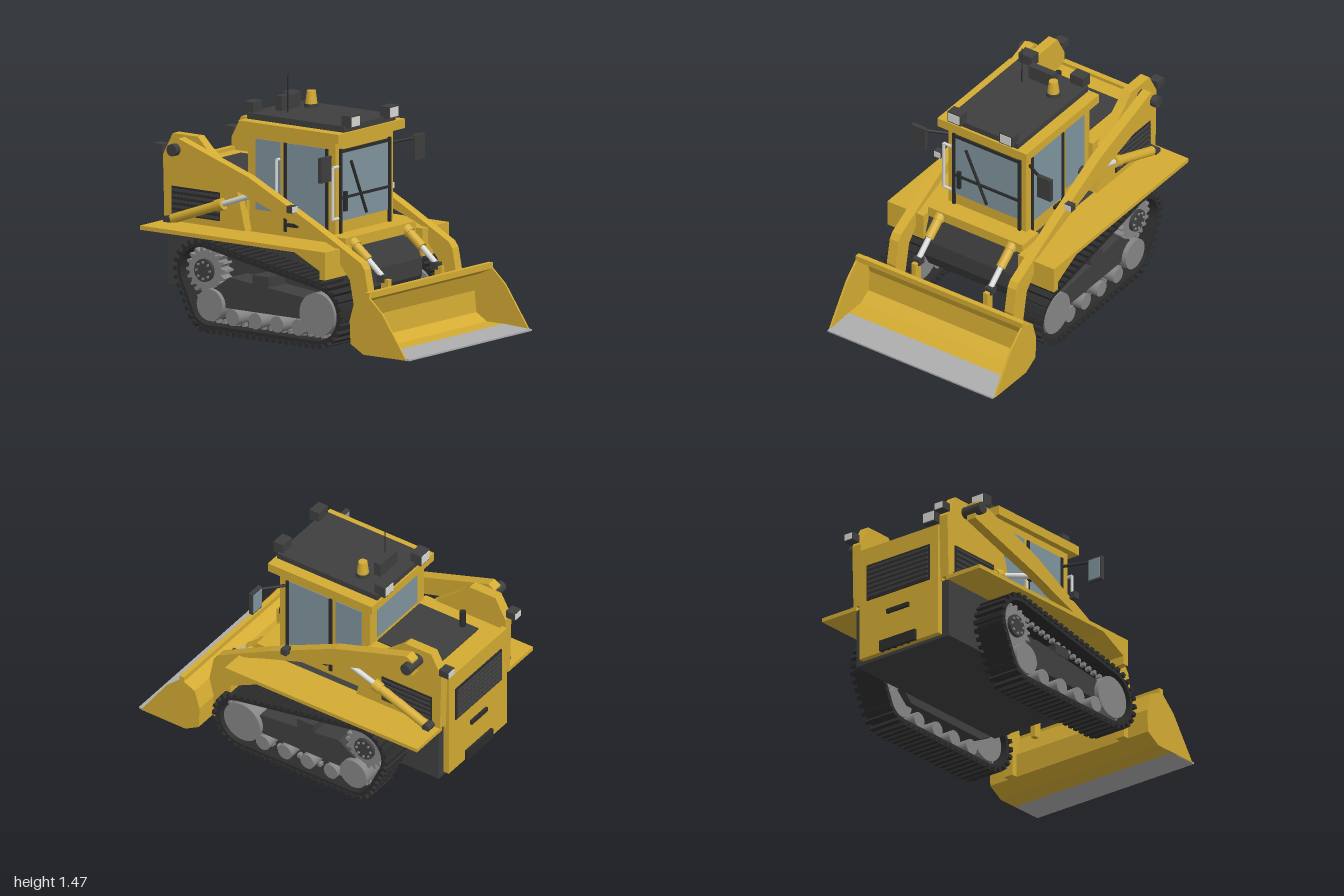
import * as THREE from 'three';

const material = (name, color) => Object.assign(new THREE.MeshStandardMaterial({ color }), { name });
const yellow = material('body yellow', 0xd4ac33);
const dark = material('dark grey', 0x3f3f3f);
const black = material('black trim', 0x2c2c2c);
const glass = material('window glass', 0x80959e);
const steel = material('cutting steel', 0xadadad);
const wheelGrey = material('wheel grey', 0x868686);
const lamp = material('lamp white', 0xd8d8d6);

export function createModel() {
  const model = new THREE.Group();
  model.name = 'earthMover';

  const add = (name, geometry, mat) => {
    const mesh = new THREE.Mesh(geometry, mat);
    mesh.name = name;
    model.add(mesh);
    return mesh;
  };
  // Box given by its extents
  const box = (name, mat, x0, x1, y0, y1, z0, z1) => {
    const mesh = add(name, new THREE.BoxGeometry(x1 - x0, y1 - y0, Math.abs(z1 - z0)), mat);
    mesh.position.set((x0 + x1) / 2, (y0 + y1) / 2, (z0 + z1) / 2);
  };
  // Side profile extruded across z
  const toPoints = pts => pts.map(p => new THREE.Vector2(p[0], p[1]));
  const profile = (name, mat, pts, z0, z1, hole) => {
    const shape = new THREE.Shape(toPoints(pts));
    if (hole) shape.holes.push(new THREE.Path(toPoints(hole)));
    const geo = new THREE.ExtrudeGeometry(shape, { depth: Math.abs(z1 - z0), bevelEnabled: false });
    geo.translate(0, 0, Math.min(z0, z1));
    add(name, geo, mat);
  };
  // Round bar between two points
  const rod = (name, mat, a, b, r, r2 = r, sides = 16) => {
    const p = new THREE.Vector3(...a), q = new THREE.Vector3(...b);
    const mesh = add(name, new THREE.CylinderGeometry(r2, r, p.distanceTo(q), sides), mat);
    mesh.position.copy(p).lerp(q, 0.5);
    mesh.quaternion.setFromUnitVectors(new THREE.Vector3(0, 1, 0), q.sub(p).normalize());
  };
  const disc = (name, mat, x, y, r, z0, z1, sides = 32) => rod(name, mat, [x, y, z0], [x, y, z1], r, r, sides);

  // Chassis, hood and rear door
  profile('chassis', dark, [[-0.915, 0.2], [0.33, 0.2], [0.39, 0.3], [0.39, 0.4], [0.34, 0.555], [-0.915, 0.555]], -0.34, 0.34);
  box('hood', yellow, -0.93, -0.38, 0.55, 0.88, -0.3, 0.3);
  box('hoodPanel', dark, -0.81, -0.4, 0.88, 0.888, -0.21, 0.21);
  rod('exhaust', black, [-0.72, 0.88, 0.18], [-0.72, 0.99, 0.18], 0.018);
  box('rearDoor', yellow, -0.95, -0.915, 0.22, 0.9, -0.29, 0.29);
  box('rearGrille', black, -0.957, -0.95, 0.57, 0.79, -0.23, 0.23);
  for (let i = 0; i < 7; i++) box('rearSlat', dark, -0.966, -0.955, 0.585 + i * 0.029, 0.6 + i * 0.029, -0.22, 0.22);
  box('rearHandle', black, -0.966, -0.95, 0.445, 0.47, -0.08, 0.08);
  box('rearHitch', black, -0.967, -0.94, 0.22, 0.285, -0.13, 0.13);
  box('frontCrossbar', yellow, 0.2, 0.355, 0.55, 0.61, -0.33, 0.33);

  // Cab
  box('cab', yellow, -0.39, 0.235, 0.55, 1.15, -0.27, 0.27);
  box('roof', yellow, -0.43, 0.29, 1.145, 1.2, -0.31, 0.31);
  box('roofPlate', dark, -0.42, 0.275, 1.2, 1.235, -0.24, 0.24);
  box('windscreen', glass, 0.235, 0.239, 0.68, 1.09, -0.22, 0.22);
  box('rearWindow', glass, -0.394, -0.39, 0.9, 1.1, -0.2, 0.2);
  for (const z of [-0.228, 0.228]) box('windscreenFrame', black, 0.235, 0.248, 0.58, 1.1, z - 0.009, z + 0.009);
  box('windscreenFrame', black, 0.235, 0.247, 1.075, 1.093, -0.235, 0.235);
  box('windscreenBar', black, 0.237, 0.25, 0.808, 0.822, -0.22, 0.22);
  box('wiperMotor', black, 0.237, 0.255, 0.735, 0.85, 0.178, 0.202);
  rod('wiper', black, [0.249, 1.02, 0.14], [0.249, 0.7, -0.005], 0.009, 0.009, 6);

  // Roof equipment
  box('airUnit', dark, -0.335, -0.29, 1.235, 1.32, -0.085, 0.085);
  rod('beaconBase', dark, [-0.24, 1.235, -0.125], [-0.24, 1.255, -0.125], 0.042);
  rod('beacon', yellow, [-0.24, 1.25, -0.125], [-0.24, 1.33, -0.125], 0.036, 0.026);
  rod('antenna', black, [-0.24, 1.23, 0.095], [-0.24, 1.465, 0.095], 0.004, 0.003, 6);

  // Bucket
  profile('bucketShell', yellow, [[0.8, 0.012], [0.675, 0.012], [0.582, 0.065], [0.576, 0.2], [0.61, 0.312],
    [0.685, 0.345], [0.685, 0.375], [0.715, 0.375], [0.715, 0.34], [0.625, 0.3], [0.592, 0.2], [0.605, 0.075],
    [0.68, 0.03], [0.8, 0.03]], -0.575, 0.575);
  profile('cuttingEdge', steel, [[0.8, 0.012], [1, 0.012], [1, 0.022], [0.8, 0.031]], -0.575, 0.575);

  // Track loop: hull of circles around sprocket, lower idler and front idler
  const hull = inset => {
    const pts = [];
    for (const [x, y, r] of [[-0.52, 0.35, 0.165], [-0.46, 0.165, 0.142], [0.31, 0.195, 0.172]])
      for (let i = 0; i < 48; i++) {
        const a = i / 48 * Math.PI * 2;
        pts.push([x + Math.cos(a) * (r - inset), y + Math.sin(a) * (r - inset)]);
      }
    pts.sort((p, q) => p[0] - q[0] || p[1] - q[1]);
    const chain = list => {
      const h = [];
      for (const p of list) {
        while (h.length > 1) {
          const [a, b] = h.slice(-2);
          if ((b[0] - a[0]) * (p[1] - a[1]) - (b[1] - a[1]) * (p[0] - a[0]) > 1e-9) break;
          h.pop();
        }
        h.push(p);
      }
      return h.slice(0, -1);
    };
    return [...chain(pts), ...chain([...pts].reverse())];
  };
  const outer = hull(0), inner = hull(0.022);
  const loop = new THREE.Path(toPoints([...outer, outer[0]]));
  const cleatCount = 60;
  const cleatGeometry = new THREE.BoxGeometry(0.024, 0.026, 0.21);
  const toothGeometry = new THREE.BoxGeometry(0.02, 0.026, 0.03);

  for (const s of [1, -1]) {
    // Fender and rear arm tower
    profile('fender', yellow, [[-0.93, 0.572], [0.4, 0.572], [0.4, 0.41], [0.36, 0.41], [0.36, 0.46], [0.18, 0.548], [-0.93, 0.548]], s * 0.33, s * 0.58);
    profile('armTower', yellow, [[-0.93, 0.57], [-0.94, 0.95], [-0.87, 1.08], [-0.69, 1.08], [-0.63, 1.02], [-0.42, 0.85], [-0.35, 0.57]], s * 0.29, s * 0.35);
    box('sideGrille', black, -0.875, -0.53, 0.61, 0.775, s * 0.35, s * 0.355);
    for (let i = 0; i < 5; i++) box('sideSlat', dark, -0.87, -0.535, 0.62 + i * 0.032, 0.634 + i * 0.032, s * 0.353, s * 0.362);
    box('rearLight', dark, -0.996, -0.935, 0.965, 1.01, s * 0.3, s * 0.365);
    box('rearLightLens', lamp, -1, -0.996, 0.969, 1.006, s * 0.305, s * 0.36);

    // Lift arm with pivot and work light
    profile('liftArm', yellow, [[-0.8, 0.95], [-0.8, 1.05], [-0.76, 1.075], [-0.26, 0.91], [0.2, 0.69], [0.55, 0.505],
      [0.575, 0.47], [0.605, 0.32], [0.575, 0.2], [0.575, 0.06], [0.535, 0.06], [0.535, 0.2], [0.505, 0.22],
      [0.47, 0.4], [0.395, 0.49], [0.395, 0.56], [0.24, 0.62], [-0.28, 0.8]], s * 0.38, s * 0.44);
    disc('armPivot', dark, -0.78, 1.01, 0.035, s * 0.34, s * 0.48, 20);
    box('armLight', dark, 0.045, 0.084, 0.745, 0.785, s * 0.43, s * 0.48);
    box('armLightLens', lamp, 0.084, 0.088, 0.748, 0.782, s * 0.433, s * 0.477);

    // Lift cylinder
    disc('liftCylinderPin', dark, -0.87, 0.585, 0.025, s * 0.35, s * 0.41);
    rod('liftCylinder', yellow, [-0.85, 0.59, s * 0.38], [-0.5, 0.715, s * 0.37], 0.028);
    rod('liftCylinderCollar', yellow, [-0.54, 0.7, s * 0.37], [-0.49, 0.718, s * 0.37], 0.035);
    rod('liftRod', lamp, [-0.5, 0.715, s * 0.37], [-0.2, 0.82, s * 0.37], 0.016);
    disc('liftRodEnd', dark, -0.2, 0.82, 0.028, s * 0.345, s * 0.385);

    // Tilt cylinder
    rod('tiltCylinder', yellow, [0.34, 0.58, s * 0.25], [0.46, 0.485, s * 0.25], 0.028);
    rod('tiltCylinderCollar', yellow, [0.34, 0.58, s * 0.25], [0.37, 0.556, s * 0.25], 0.034);
    rod('tiltRod', lamp, [0.45, 0.493, s * 0.25], [0.555, 0.405, s * 0.25], 0.017);
    box('tiltRodEnd', dark, 0.535, 0.585, 0.37, 0.41, s * 0.226, s * 0.274);
    box('bucketLug', yellow, 0.56, 0.61, 0.27, 0.39, s * 0.235, s * 0.265);

    // Bucket side plate
    profile('bucketSide', yellow, [[0.675, 0.012], [0.582, 0.065], [0.576, 0.2], [0.61, 0.312], [0.685, 0.345],
      [0.685, 0.375], [0.715, 0.375], [0.715, 0.345], [0.81, 0.26], [0.97, 0.03], [0.98, 0.014]], s * 0.568, s * 0.58);

    // Cab side windows, door trim and mirror
    box('rearSideWindow', glass, -0.335, -0.155, 0.69, 1.1, s * 0.27, s * 0.274);
    box('doorWindow', glass, -0.11, 0.17, 0.65, 1.1, s * 0.27, s * 0.274);
    box('doorFrame', black, -0.13, -0.11, 0.585, 1.1, s * 0.27, s * 0.279);
    box('doorFrame', black, 0.17, 0.188, 0.585, 1.1, s * 0.27, s * 0.279);
    box('doorHandle', black, -0.1, -0.03, 0.617, 0.637, s * 0.27, s * 0.285);
    rod('mirrorBracket', black, [0.2, 1.055, s * 0.27], [0.285, 1.075, s * 0.4], 0.009, 0.009, 8);
    box('mirror', dark, 0.275, 0.3, 0.945, 1.09, s * 0.39, s * 0.485);
    box('mirrorGlass', glass, 0.271, 0.275, 0.955, 1.08, s * 0.397, s * 0.478);

    // Roof lights, lenses facing outward
    for (const [x0, x1, lens] of [[-0.46, -0.39, -0.462], [0.245, 0.31, 0.312]]) {
      box('roofLight', dark, x0, x1, 1.225, 1.295, s * 0.135, s * 0.225);
      box('roofLightLens', lamp, lens - 0.002, lens + 0.002, 1.233, 1.288, s * 0.142, s * 0.218);
    }

    // Track belt with cleats outside and guide teeth inside
    profile('trackBelt', black, outer, s * 0.36, s * 0.55, inner);
    for (let i = 0; i < cleatCount; i++) {
      const u = i / cleatCount, p = loop.getPointAt(u), t = loop.getTangentAt(u);
      const place = (mesh, offset) => {
        mesh.position.set(p.x + t.y * offset, p.y - t.x * offset, s * 0.455);
        mesh.rotation.z = Math.atan2(t.y, t.x);
      };
      place(add('trackCleat', cleatGeometry, black), 0.01);
      place(add('guideTooth', toothGeometry, wheelGrey), -0.032);
    }

    // Track frame, sprocket, idlers and rollers
    profile('trackFrame', dark, [[-0.5, 0.22], [-0.34, 0.33], [0.2, 0.275], [0.3, 0.2], [0.2, 0.15], [-0.42, 0.15]], s * 0.34, s * 0.51);
    box('frameBlock', dark, -0.17, -0.055, 0.305, 0.365, s * 0.36, s * 0.515);
    const teeth = [];
    for (let i = 0; i < 72; i++) {
      const a = i / 72 * Math.PI * 2, r = i % 4 < 2 ? 0.14 : 0.112;
      teeth.push([-0.52 + Math.cos(a) * r, 0.35 + Math.sin(a) * r]);
    }
    profile('sprocket', wheelGrey, teeth, s * 0.42, s * 0.5);
    disc('sprocketHub', dark, -0.52, 0.35, 0.066, s * 0.36, s * 0.52);
    for (let i = 0; i < 8; i++) {
      const a = i / 8 * Math.PI * 2;
      disc('hubBolt', wheelGrey, -0.52 + Math.cos(a) * 0.048, 0.35 + Math.sin(a) * 0.048, 0.008, s * 0.515, s * 0.527, 8);
    }
    disc('frontIdler', wheelGrey, 0.31, 0.195, 0.125, s * 0.38, s * 0.54, 40);
    disc('rearIdler', wheelGrey, -0.46, 0.16, 0.092, s * 0.38, s * 0.54, 36);
    for (const x of [-0.3, -0.137, 0.018, 0.17]) disc('roller', wheelGrey, x, 0.103, 0.047, s * 0.38, s * 0.535, 24);
  }

  // Grab rails on the door side
  for (const x of [-0.165, 0.24]) {
    const pts = [[x, 0.7, 0.25], [x, 0.7, 0.3], [x, 1, 0.3], [x, 1, 0.25]];
    for (let i = 0; i < 3; i++) rod('grabRail', lamp, pts[i], pts[i + 1], 0.009, 0.009, 10);
  }
  return model;
}
